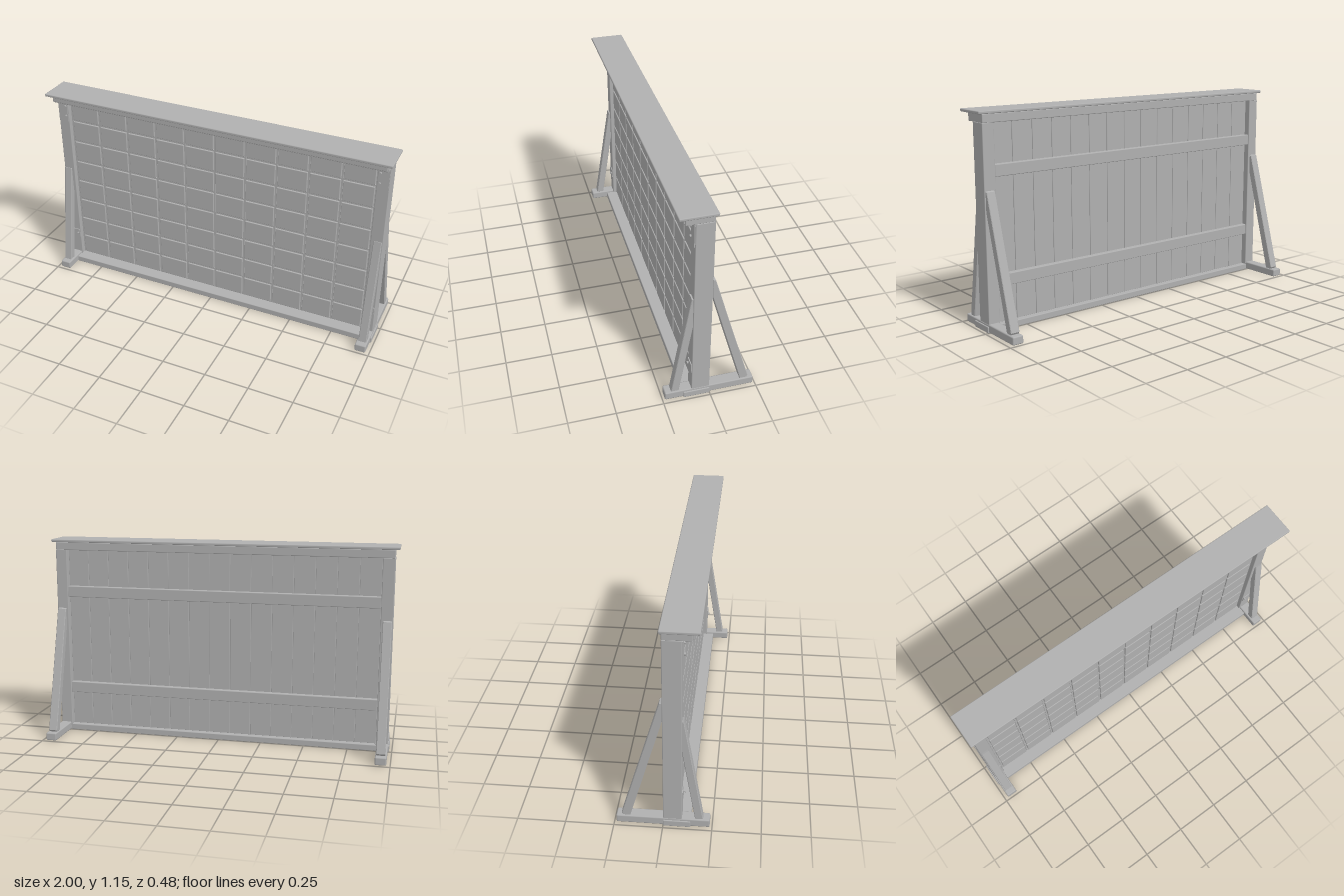
import * as THREE from 'three';
import { RoundedBoxGeometry } from 'three/addons/geometries/RoundedBoxGeometry.js';

export function createModel() {
  const model = new THREE.Group();
  model.name = 'pigeonholeBoard';
  const wood = new THREE.MeshStandardMaterial({ color: 0xb0b0b0 });
  wood.name = 'grey wood';

  const add = (name, geometry, parent = model) => {
    const mesh = new THREE.Mesh(geometry, wood);
    mesh.name = name;
    parent.add(mesh);
    return mesh;
  };

  // Box given by its limits on each axis, with softened edges when bevel > 0
  const slab = (name, [x0, x1], [y0, y1], [z0, z1], bevel = 0.004, parent = model) => {
    const size = [x1 - x0, y1 - y0, z1 - z0];
    const geometry = bevel
      ? new RoundedBoxGeometry(...size, 1, bevel)
      : new THREE.BoxGeometry(...size);
    const mesh = add(name, geometry, parent);
    mesh.position.set((x0 + x1) / 2, (y0 + y1) / 2, (z0 + z1) / 2);
    return mesh;
  };

  // Board with a [z, y] outline, extruded from x0 to x1
  const brace = (name, outline, x0, x1) => {
    const shape = new THREE.Shape(outline.map(([z, y]) => new THREE.Vector2(z, y)));
    const bevel = 0.003;
    const geometry = new THREE.ExtrudeGeometry(shape, {
      depth: x1 - x0 - 2 * bevel, bevelSize: bevel, bevelThickness: bevel,
      bevelOffset: -bevel, bevelSegments: 1,
    });
    geometry.rotateY(-Math.PI / 2);
    add(name, geometry).position.x = x1 - bevel;
  };

  // Cap, cornice and base
  slab('topBoard', [-1, 1], [1.141, 1.157], [-0.01, 0.182], 0.005);
  slab('cornice', [-0.975, 0.975], [1.095, 1.141], [0, 0.145]);
  slab('corniceStrip', [-0.97, 0.97], [1.103, 1.134], [0.14, 0.153]);
  slab('bottomRail', [-0.985, 0.985], [0.003, 0.038], [0, 0.14]);

  // Posts, feet, diagonal braces and bolted plates at both ends
  for (const side of [-1, 1]) {
    const span = (a, b) => (side > 0 ? [a, b] : [-b, -a]);
    slab('post', span(0.91, 0.977), [0.036, 1.097], [0, 0.096]);
    slab('foot', span(0.917, 0.979), [0.005, 0.05], [-0.24, 0.238], 0.007);
    brace('backBrace', [[0, 0.752], [-0.013, 0.748], [-0.212, 0.06], [-0.205, 0.049],
      [-0.168, 0.049], [0, 0.645]], ...span(0.922, 0.972));
    brace('frontBrace', [[0.094, 0.648], [0.105, 0.652], [0.204, 0.049],
      [0.163, 0.049], [0.094, 0.475]], ...span(0.927, 0.972));

    for (const [y0, y1, bolts] of [[0.965, 1.09, [1.0, 1.06]], [0.16, 0.215, [0.19]]]) {
      slab('postPlate', span(0.915, 0.973), [y0, y1], [0.095, 0.101], 0);
      for (const y of bolts) {
        const bolt = add('bolt', new THREE.CylinderGeometry(0.007, 0.007, 0.012, 8));
        bolt.rotation.x = Math.PI / 2;
        bolt.position.set(side * 0.925, y, 0.104);
      }
    }
  }

  // Back planks with narrow gaps, over a backing sheet
  const half = 0.91;
  slab('backingSheet', [-half, half], [0.036, 1.097], [0.04, 0.056], 0);
  const planks = 15, plankWidth = 2 * half / planks;
  for (let i = 0; i < planks; i++) {
    const x = -half + i * plankWidth;
    slab('backPlank', [x + 0.001, x + plankWidth - 0.001], [0.037, 1.096], [0.033, 0.045], 0.002);
  }
  for (const y of [0.27, 0.85]) {
    slab('backBatten', [-half, half], [y - 0.032, y + 0.032], [0.004, 0.036]);
  }

  // Front lattice with a slightly raised panel in every cell
  const columns = 10, rows = 8, left = -0.905, bottom = 0.036;
  const cellW = 1.81 / columns, cellH = 1.058 / rows;
  const lattice = new THREE.Group();
  lattice.name = 'lattice';
  const panels = new THREE.Group();
  panels.name = 'panels';
  model.add(lattice, panels);
  for (let c = 0; c <= columns; c++) {
    const x = left + c * cellW;
    slab('upright', [x - 0.005, x + 0.005], [bottom, 1.096], [0.055, 0.07], 0, lattice);
  }
  for (let r = 0; r <= rows; r++) {
    const y = bottom + r * cellH;
    slab('crossbar', [-half, half], [y - 0.005, y + 0.005], [0.055, 0.069], 0, lattice);
  }
  for (let c = 0; c < columns; c++) {
    for (let r = 0; r < rows; r++) {
      const x = left + c * cellW, y = bottom + r * cellH;
      const panel = slab('panel', [x + 0.007, x + cellW - 0.007],
        [y + 0.007, y + cellH - 0.006], [0.054, 0.076], 0.003, panels);
      // Hung a touch unevenly
      panel.rotation.z = (((c * 7 + r * 5) % 9) - 4) * 0.002;
    }
  }
  return model;
}
